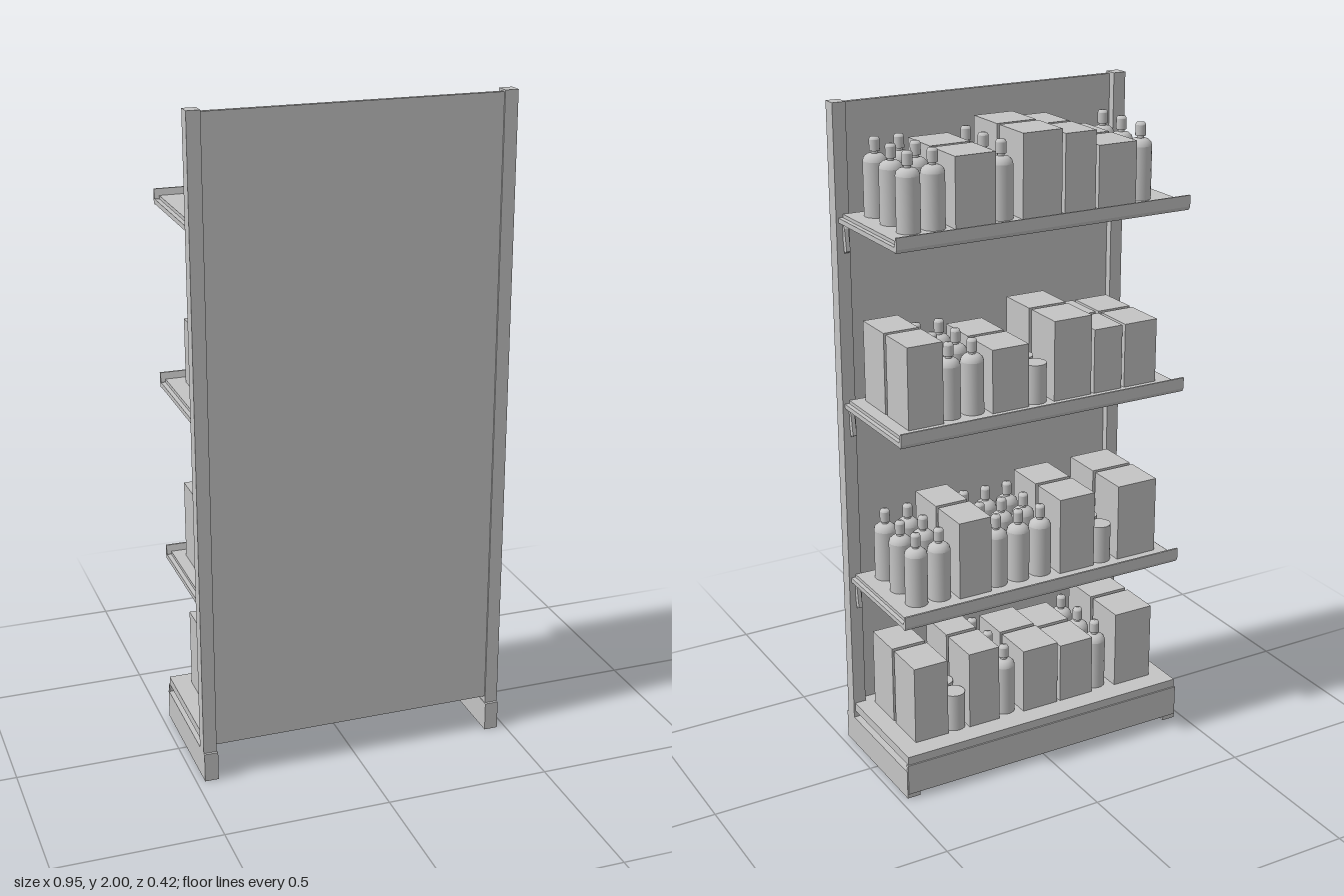
import * as THREE from 'three';

const grey = new THREE.MeshStandardMaterial({ color: 0xc4c4c4 });
grey.name = 'light grey';

function add(parent, name, geometry, x = 0, y = 0, z = 0) {
  const mesh = new THREE.Mesh(geometry, grey);
  mesh.name = name;
  mesh.position.set(x, y, z);
  parent.add(mesh);
  return mesh;
}

// Box given by its limits on each axis
function block(parent, name, x0, x1, y0, y1, z0, z1) {
  return add(parent, name, new THREE.BoxGeometry(x1 - x0, y1 - y0, z1 - z0),
    (x0 + x1) / 2, (y0 + y1) / 2, (z0 + z1) / 2);
}

// Extrude a (z, y) outline along x, centred on x
function sideProfile(points, width) {
  const shape = new THREE.Shape(points.map(([z, y]) => new THREE.Vector2(-z, y)));
  const g = new THREE.ExtrudeGeometry(shape, { depth: width, bevelEnabled: false });
  g.translate(0, 0, -width / 2);
  g.rotateY(Math.PI / 2);
  return g;
}

const lathe = (pts) => new THREE.LatheGeometry(pts.map(([r, y]) => new THREE.Vector2(r, y)), 20);
const bottleBody = lathe([[0, 0], [0.034, 0], [0.034, 0], [0.034, 0.155], [0.034, 0.155],
  [0.031, 0.165], [0.022, 0.173], [0.010, 0.176], [0.010, 0.176], [0.010, 0.186]]);
const bottleCap = lathe([[0, 0.183], [0.015, 0.183], [0.015, 0.183], [0.015, 0.214],
  [0.015, 0.214], [0.012, 0.220], [0, 0.222]]);
const canGeometry = new THREE.CylinderGeometry(0.034, 0.034, 0.118, 20);

function bottles(parent, x, y) {
  for (const z of [-0.1, 0, 0.1]) {
    add(parent, 'bottle', bottleBody, x, y, z);
    add(parent, 'bottleCap', bottleCap, x, y, z);
  }
}

function cans(parent, x, y) {
  for (const z of [-0.11, -0.033, 0.044, 0.121]) add(parent, 'can', canGeometry, x, y + 0.059, z);
}

function cartons(parent, x0, x1, y, height) {
  block(parent, 'carton', x0, x1, y, y + height, -0.144, -0.012);
  block(parent, 'carton', x0, x1, y, y + height, 0.002, 0.134);
}

// Goods on each shelf: bottle and can columns by x, cartons by [x0, x1, height]
const shelves = [
  { top: 0.138, bottles: [0.09, -0.235], cans: [0.268],
    cartons: [[0.305, 0.415, 0.245], [0.13, 0.232, 0.245], [-0.075, 0.045, 0.205],
      [-0.2, -0.085, 0.19], [-0.415, -0.285, 0.245]] },
  { top: 0.567, bottles: [0.38, 0.305, 0.115, 0.04, -0.035], cans: [-0.24],
    cartons: [[0.155, 0.26, 0.24], [-0.2, -0.08, 0.24], [-0.42, -0.285, 0.24]] },
  { top: 1.125, bottles: [0.265, 0.19], cans: [-0.01],
    cartons: [[0.305, 0.415, 0.242], [0.03, 0.148, 0.19], [-0.18, -0.055, 0.242],
      [-0.285, -0.19, 0.195], [-0.405, -0.295, 0.195]] },
  { top: 1.678, bottles: [0.38, 0.305, 0.095, -0.36], cans: [],
    cartons: [[0.135, 0.26, 0.2], [-0.075, 0.05, 0.24], [-0.185, -0.085, 0.225],
      [-0.32, -0.195, 0.18]] },
];

export function createModel() {
  const model = new THREE.Group();
  model.name = 'shelvingUnit';

  // Uprights with long feet
  for (const s of [-1, 1]) {
    add(model, 'upright', new THREE.BoxGeometry(0.04, 1.91, 0.042), s * 0.455, 1.045, 0.181);
    add(model, 'foot', new THREE.BoxGeometry(0.042, 0.09, 0.415), s * 0.454, 0.045, 0.0025);
  }

  // Rear panel and kick plate
  block(model, 'rearPanel', -0.436, 0.436, 0.111, 1.995, 0.183, 0.197);
  block(model, 'kickPlate', -0.473, 0.473, 0.015, 0.112, -0.209, -0.198);

  shelves.forEach((shelf, i) => {
    const group = new THREE.Group();
    group.name = 'shelf' + (i + 1);
    model.add(group);
    const { top } = shelf;

    if (i === 0) {
      // Base deck
      block(group, 'baseDeck', -0.47, 0.47, 0.111, top, -0.205, 0.16);
      block(group, 'deckRearStrip', -0.434, 0.434, 0.111, top, 0.16, 0.183);
    } else {
      // Deck with a price rail along the open edge
      block(group, 'deck', -0.468, 0.468, top - 0.014, top, -0.19, 0.16);
      add(group, 'priceRail', sideProfile([[-0.19, top - 0.016], [-0.197, top - 0.016],
        [-0.203, top - 0.005], [-0.203, top + 0.028], [-0.197, top + 0.028],
        [-0.19, top + 0.003]], 0.936));
      // Hooked brackets at both ends
      for (const s of [-1, 1]) {
        add(group, 'bracket', sideProfile([[0.162, top - 0.014], [0.148, top - 0.03],
          [0.138, top - 0.094], [0.154, top - 0.102], [0.162, top - 0.05]], 0.012), s * 0.45);
      }
    }

    // Goods
    const y = top + (i === 0 ? 0.002 : 0.01);
    if (i > 0) block(group, 'shelfMat', -0.455, 0.455, top, y, -0.188, 0.158);
    shelf.bottles.forEach((x) => bottles(group, x, y));
    shelf.cans.forEach((x) => cans(group, x, y));
    shelf.cartons.forEach(([x0, x1, h]) => cartons(group, x0, x1, y, h));
  });

  return model;
}
